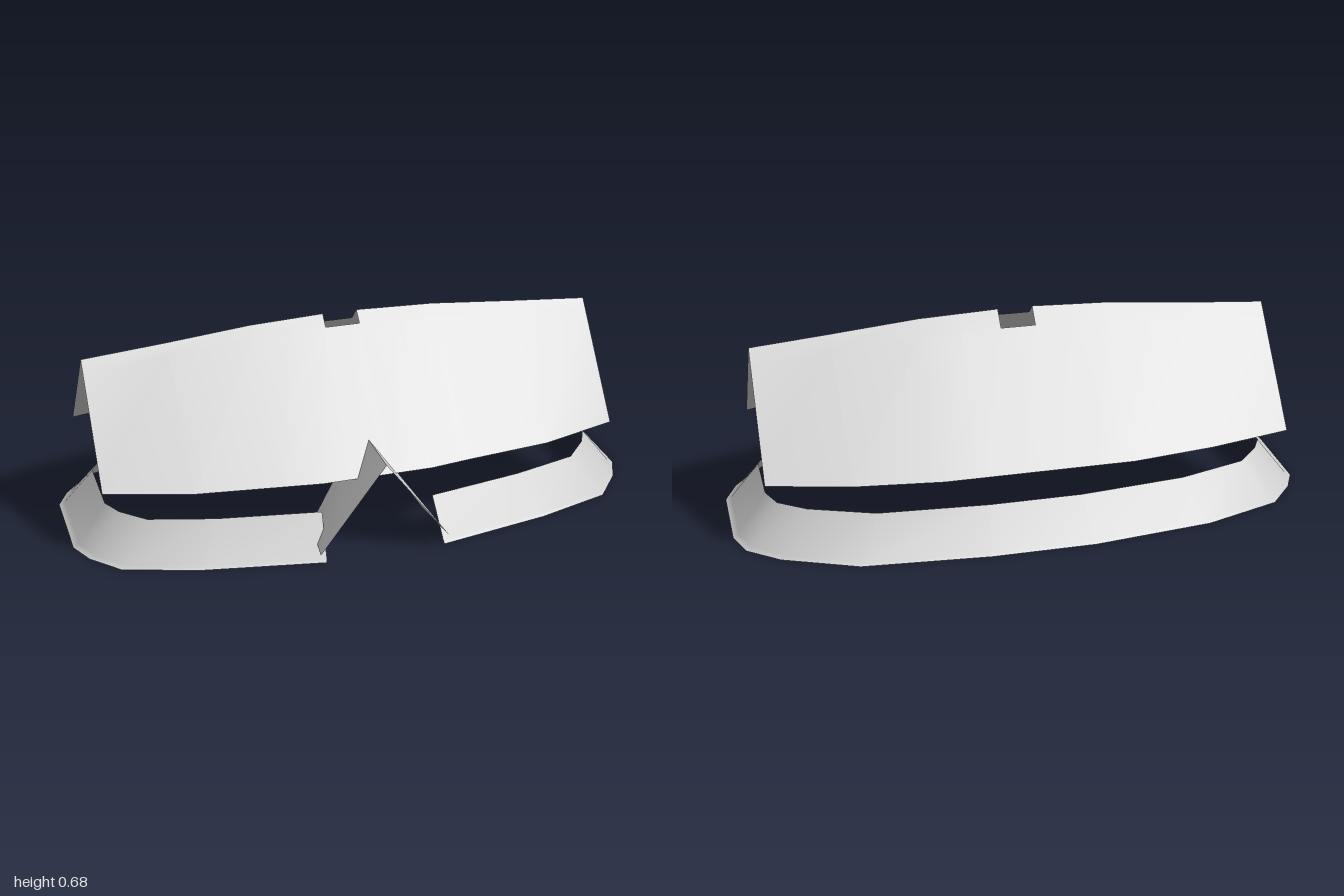
import * as THREE from 'three';

const material = new THREE.MeshStandardMaterial({ color: 0xcccccc, side: THREE.DoubleSide });

// Sheet through rows of points; skip(i, j) leaves a cell open
function sheet(name, rows, skip = () => false) {
  const n = rows[0].length;
  const index = [];
  for (let i = 0; i < rows.length - 1; i++) {
    for (let j = 0; j < n - 1; j++) {
      if (skip(i, j)) continue;
      const a = i * n + j, b = a + 1, c = a + n, d = c + 1;
      index.push(a, c, b, b, c, d);
    }
  }
  const geometry = new THREE.BufferGeometry();
  geometry.setAttribute('position', new THREE.Float32BufferAttribute(rows.flat(2), 3));
  geometry.setIndex(index);
  geometry.computeVertexNormals();
  const mesh = new THREE.Mesh(geometry, material);
  mesh.name = name;
  return mesh;
}

// Columns along the ridge: x, ridge height, front eave z, back eave z
const roofColumns = [
  [-0.91, 0.62, 0.26, -0.33], [-0.62, 0.643, 0.35, -0.395], [-0.33, 0.67, 0.388, -0.435],
  [-0.2, 0.675, 0.405, -0.435], [-0.075, 0.68, 0.405, -0.435], [0.045, 0.68, 0.405, -0.435],
  [0.18, 0.675, 0.405, -0.435], [0.32, 0.67, 0.385, -0.435], [0.62, 0.643, 0.35, -0.4],
  [0.895, 0.62, 0.265, -0.33],
];
const ridgeZ = -0.02, eaveY = 0.26;

function roofSlope(name, side) {
  const stops = side > 0 ? [1, 0.085, 0] : [0, 0.12, 1];
  const rows = stops.map(t => roofColumns.map(([x, top, front, back]) => [
    x,
    THREE.MathUtils.lerp(top, eaveY, t),
    THREE.MathUtils.lerp(ridgeZ, side > 0 ? front : back, t),
  ]));
  // Smoke hole next to the ridge, in the middle column
  const holeRow = side > 0 ? 1 : 0;
  const mesh = sheet(name, rows.reverse(), (i, j) => i === 1 - holeRow && j === 4);
  return mesh;
}

// Ground outline of the wall, from one side of the doorway round to the other
const wallOutline = [
  [0.205, 0.475], [0.6, 0.4], [0.86, 0.32], [0.955, 0.2], [1, 0.1], [1, -0.18], [0.965, -0.28],
  [0.86, -0.365], [0.61, -0.47], [0.18, -0.505], [-0.18, -0.505], [-0.6, -0.455],
  [-0.87, -0.365], [-0.96, -0.26], [-1, -0.18], [-1, 0.13], [-0.96, 0.22], [-0.87, 0.32],
  [-0.62, 0.4], [-0.21, 0.475],
];

export function createModel() {
  const group = new THREE.Group();
  group.add(roofSlope('frontRoof', 1), roofSlope('backRoof', -1));

  // Low wall leaning inward
  const ring = (y, sx, sz) => wallOutline.map(([x, z]) =>
    [Math.abs(x) < 0.25 && z > 0 ? x * (0.5 + sx / 2) : x * sx, y, z * sz]);
  group.add(sheet('wall', [ring(0.138, 0.88, 0.79), ring(0.01, 0.98, 0.98), ring(0, 1, 1)]));

  // Two-sided porch over the doorway, narrowing slightly to the back
  const midX = -0.015;
  for (const side of [1, -1]) {
    group.add(sheet(side > 0 ? 'leftPorchPanel' : 'rightPorchPanel', [
      [[midX, 0.35, 0.505], [midX + side * 0.225, 0.05, 0.505]],
      [[midX, 0.35, 0.222], [midX + side * 0.2, 0.05, 0.297]],
    ]));
  }
  return group;
}
